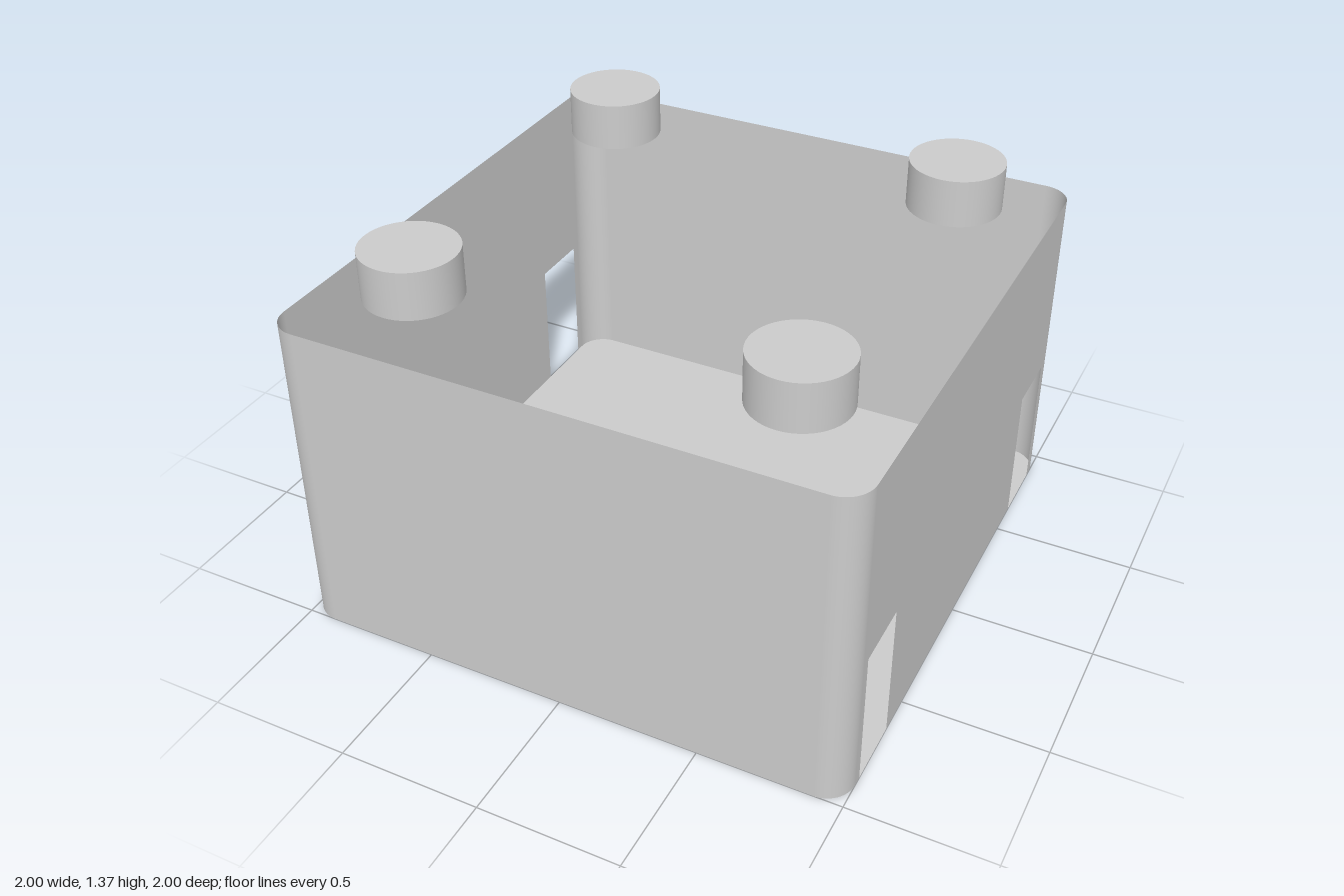
import * as THREE from 'three';

const HEIGHT = 1.17, RADIUS = 0.1, FLAT = 1 - RADIUS;

export function createModel() {
  const model = new THREE.Group();
  const grey = new THREE.MeshStandardMaterial({ color: 0xcccccc, side: THREE.DoubleSide });
  grey.name = 'light grey';

  const add = (name, geometry, x = 0, y = 0, z = 0, turn = 0) => {
    const mesh = new THREE.Mesh(geometry, grey);
    mesh.name = name;
    mesh.position.set(x, y, z);
    mesh.rotation.y = turn;
    model.add(mesh);
  };

  // Plain front and back walls of the thin open box
  const plain = new THREE.PlaneGeometry(2 * FLAT, HEIGHT);
  add('frontWall', plain, 0, HEIGHT / 2, 1);
  add('backWall', plain, 0, HEIGHT / 2, -1, Math.PI);

  // Side walls with two tall notches rising from the floor
  const [inner, outer, top] = [0.635, 0.868, 0.5];
  const sideShape = new THREE.Shape([
    [-FLAT, 0], [-outer, 0], [-outer, top], [-inner, top], [-inner, 0],
    [inner, 0], [inner, top], [outer, top], [outer, 0], [FLAT, 0],
    [FLAT, HEIGHT], [-FLAT, HEIGHT],
  ].map(([u, v]) => new THREE.Vector2(u, v)));
  const side = new THREE.ShapeGeometry(sideShape);
  add('leftWall', side, 1, 0, 0, Math.PI / 2);
  add('rightWall', side, -1, 0, 0, -Math.PI / 2);

  // Rounded vertical corners
  const corner = new THREE.CylinderGeometry(RADIUS, RADIUS, HEIGHT, 12, 1, true, 0, Math.PI / 2);
  // Studs hovering just above the rim
  const stud = new THREE.CylinderGeometry(0.166, 0.166, 0.17, 48);
  [[1, 1], [1, -1], [-1, -1], [-1, 1]].forEach(([sx, sz], i) => {
    add('cornerWall', corner, sx * FLAT, HEIGHT / 2, sz * FLAT, i * Math.PI / 2);
    add('stud', stud, sx * 0.666, 1.285, sz * 0.666);
  });

  // Floor sheet with rounded corners
  const floorShape = new THREE.Shape();
  [[1, 1], [-1, 1], [-1, -1], [1, -1]].forEach(([sx, sz], i) =>
    floorShape.absarc(sx * FLAT, sz * FLAT, RADIUS, i * Math.PI / 2, (i + 1) * Math.PI / 2));
  add('floor', new THREE.ShapeGeometry(floorShape, 12).rotateX(Math.PI / 2));

  return model;
}
